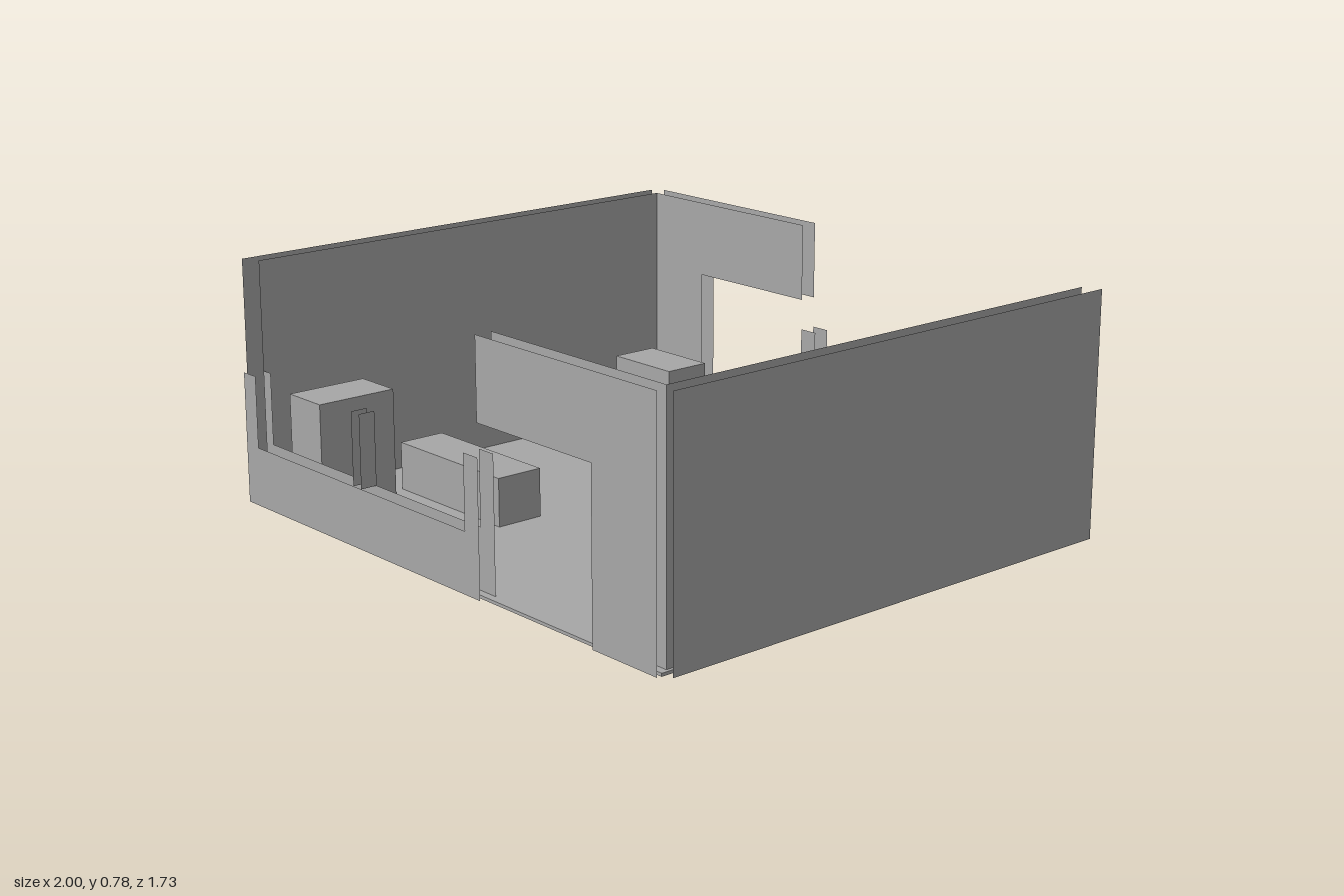
import * as THREE from 'three';

const grey = new THREE.MeshStandardMaterial({ color: 0xa8a8a8, side: THREE.DoubleSide });
grey.name = 'plain grey';

const BASE = 0.01, TOP = 0.78, SILL = 0.2, POST = 0.43, LINTEL = 0.53;
const OUTER_Z = 0.865, INNER_Z = 0.81;

function add(parent, name, geometry, x = 0, y = 0, z = 0) {
  const mesh = new THREE.Mesh(geometry, grey);
  mesh.name = name;
  mesh.position.set(x, y, z);
  parent.add(mesh);
  return mesh;
}

const outline = (points) => new THREE.Shape(points.map(([x, y]) => new THREE.Vector2(x, y)));

// Low window wall with end posts, and the door surround beside it
function endWallSkin(edge) {
  const windowPart = outline([
    [-edge, BASE], [0.22, BASE], [0.22, POST], [0.155, POST],
    [0.155, SILL], [-0.905, SILL], [-0.905, POST], [-edge, POST],
  ]);
  const doorPart = outline([
    [0.71, BASE], [edge, BASE], [edge, TOP], [0.22, TOP], [0.22, LINTEL], [0.71, LINTEL],
  ]);
  return new THREE.ShapeGeometry([windowPart, doorPart]);
}

// Half of the shell: one end wall and one side wall, each with two thin skins
function wallPair(name) {
  const group = new THREE.Group();
  group.name = name;
  add(group, 'outerEndWall', endWallSkin(0.97), 0, 0, OUTER_Z);
  add(group, 'innerEndWall', endWallSkin(0.945), 0, 0, INNER_Z);

  // Window divider: two planes across the wall thickness
  for (const x of [-0.39, -0.35]) {
    const plane = new THREE.PlaneGeometry(OUTER_Z - INNER_Z, POST - SILL);
    add(group, 'windowDivider', plane, x, (POST + SILL) / 2, (OUTER_Z + INNER_Z) / 2)
      .rotation.y = Math.PI / 2;
  }

  for (const [skin, x, halfLength] of [['outerSideWall', 1, 0.835], ['innerSideWall', 0.945, 0.81]]) {
    add(group, skin, new THREE.PlaneGeometry(halfLength * 2, TOP - BASE), x, (TOP + BASE) / 2, 0)
      .rotation.y = Math.PI / 2;
  }
  return group;
}

export function createModel() {
  const model = new THREE.Group();
  model.name = 'room';

  add(model, 'floor', new THREE.BoxGeometry(1.91, BASE, 1.67), 0, BASE / 2, 0);

  // The back half repeats the front half turned half a circle
  const front = wallPair('frontWalls');
  const back = wallPair('backWalls');
  back.rotation.y = Math.PI;
  model.add(front, back);

  // Furniture blocks: x range, z range, top height
  const blocks = [
    ['backRightCabinet', -0.895, -0.62, -0.745, -0.58, 0.245],
    ['backLeftCabinet', 0.48, 0.87, -0.775, -0.615, 0.245],
    ['counter', 0.325, 0.68, -0.36, -0.255, 0.34],
    ['bench', -0.76, -0.255, 0.27, 0.43, 0.165],
    ['cupboard', -0.895, -0.73, 0.475, 0.75, 0.355],
  ];
  for (const [name, x0, x1, z0, z1, top] of blocks) {
    add(model, name, new THREE.BoxGeometry(x1 - x0, top - BASE, z1 - z0),
      (x0 + x1) / 2, (top + BASE) / 2, (z0 + z1) / 2);
  }
  return model;
}
